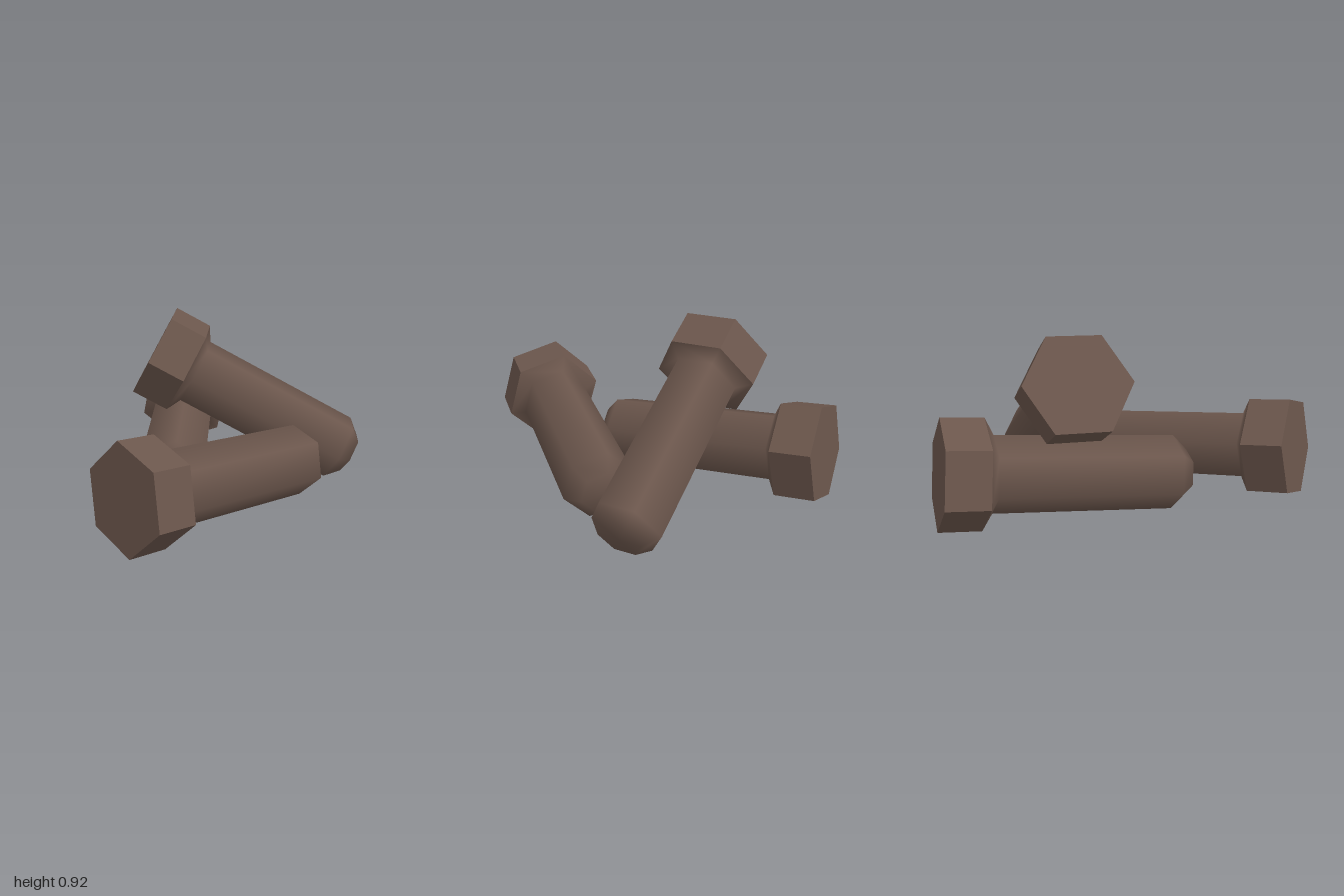
import * as THREE from 'three';

const HEAD_R = 0.27, HEAD_H = 0.21, SHAFT_R = 0.188, LENGTH = 1.25;

// Six-sided bolt along +y: outer face of the head at y = 0, a corner towards +z
function makeBolt(material) {
  const bolt = new THREE.Group();

  // Crisp hexagonal head
  const headGeo = new THREE.CylinderGeometry(HEAD_R, HEAD_R, HEAD_H, 6)
    .translate(0, HEAD_H / 2, 0).toNonIndexed();
  headGeo.computeVertexNormals();
  const head = new THREE.Mesh(headGeo, material);
  head.name = 'boltHead';

  // Softly shaded shaft: sloped collar, straight body, chamfered tip
  const profile = [
    [HEAD_R, HEAD_H], [SHAFT_R, HEAD_H + 0.045],
    [SHAFT_R, LENGTH - 0.075], [0.115, LENGTH], [0, LENGTH],
  ].map(([r, y]) => new THREE.Vector2(r, y));
  const shaft = new THREE.Mesh(new THREE.LatheGeometry(profile, 6), material);
  shaft.name = 'boltShaft';

  bolt.add(head, shaft);
  return bolt;
}

export function createModel() {
  const model = new THREE.Group();
  model.name = 'boltPile';
  const brown = new THREE.MeshStandardMaterial({ color: 0x6b564c });
  brown.name = 'dull brown';

  // Head centre, axis direction and direction of one head corner
  const placements = [
    ['frontBolt', [-0.3, 0.29, 0.842], [0.71, -0.125, -1.02], [0.07, -0.52, 0.12]],
    ['topBolt', [-0.455, 0.705, -0.288], [0.867, -0.477, -0.13], [0.07, -0.016, 0.525]],
    ['backBolt', [-0.437, 0.29, -0.95], [0.2, -0.125, 1.24], [0.06, 0.265, 0.02]],
  ];
  for (const [name, position, direction, corner] of placements) {
    const y = new THREE.Vector3(...direction).normalize();
    const x = new THREE.Vector3().crossVectors(y, new THREE.Vector3(...corner)).normalize();
    const z = new THREE.Vector3().crossVectors(x, y);
    const bolt = makeBolt(brown);
    bolt.name = name;
    bolt.position.set(...position);
    bolt.quaternion.setFromRotationMatrix(new THREE.Matrix4().makeBasis(x, y, z));
    model.add(bolt);
  }
  return model;
}
